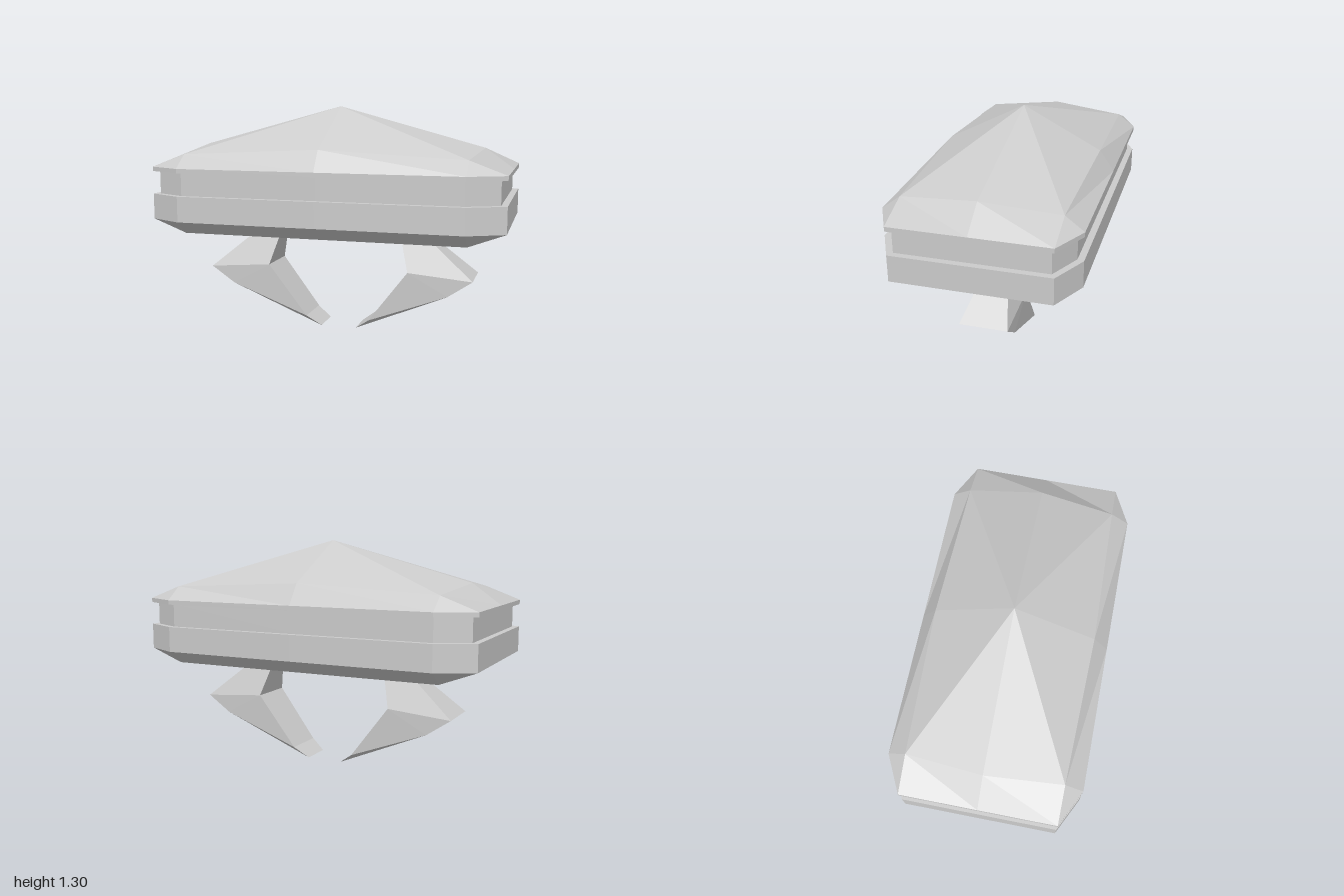
import * as THREE from 'three';

const material = new THREE.MeshStandardMaterial({ color: 0xcccccc, flatShading: true });

// Flat-shaded mesh from a list of triangles, skipping collapsed ones
function meshFrom(name, triangles) {
  const t = new THREE.Triangle();
  const points = triangles.filter(([a, b, c]) => t.set(a, b, c).getArea() > 1e-7).flat();
  const geometry = new THREE.BufferGeometry().setFromPoints(points);
  geometry.computeVertexNormals();
  const mesh = new THREE.Mesh(geometry, material);
  mesh.name = name;
  return mesh;
}

// Twelve-point ring: a rectangle X by Z with corners cut at (cx, cz) and a
// point in the middle of each side; heights and bulges may differ per point
function ring(y, X, Z, cx = X, cz = Z, { ySide = y, yFront = y, bulgeX = 0, bulgeZ = 0 } = {}) {
  const p = (x, h, z) => new THREE.Vector3(x, h, z);
  return [
    p(X + bulgeX, ySide, 0), p(X, y, cz), p(cx, y, Z),
    p(0, yFront, Z + bulgeZ), p(-cx, y, Z), p(-X, y, cz),
    p(-X - bulgeX, ySide, 0), p(-X, y, -cz), p(-cx, y, -Z),
    p(0, yFront, -Z - bulgeZ), p(cx, y, -Z), p(X, y, -cz),
  ];
}

// Skin over successive rings
function loft(name, rings) {
  const triangles = [];
  for (let r = 0; r < rings.length - 1; r++) {
    const lo = rings[r], hi = rings[r + 1];
    for (let i = 0; i < 12; i++) {
      const j = (i + 1) % 12;
      triangles.push([lo[i], hi[i], hi[j]], [lo[i], hi[j], lo[j]]);
    }
  }
  return meshFrom(name, triangles);
}

// Claw-like leg: side profile [x, y, half width], joined front to back
function leg(name) {
  const profile = [
    [0.32, 0.72, 0.001], // hidden top point
    [0.42, 0.36, 0.133], // inner knee
    [0.19, 0.06, 0.122], // inner toe
    [0.105, 0, 0.093], // tip
    [0.65, 0.235, 0.132], // outer shin
    [0.79, 0.33, 0.133], // outer knee
  ];
  const front = profile.map(([x, y, w]) => new THREE.Vector3(x, y, w));
  const back = profile.map(([x, y, w]) => new THREE.Vector3(x, y, -w));
  const triangles = [];
  for (const [a, b, c] of [[0, 1, 5], [1, 4, 5], [1, 2, 4], [2, 3, 4]]) {
    triangles.push([front[a], front[b], front[c]], [back[a], back[c], back[b]]);
  }
  for (let i = 0; i < 6; i++) {
    const j = (i + 1) % 6;
    triangles.push([front[i], back[i], back[j]], [front[i], back[j], front[j]]);
  }
  return meshFrom(name, triangles);
}

export function createModel() {
  const model = new THREE.Group();
  model.name = 'leggedCapsule';

  const outer = (y) => ring(y, 1, 0.52, 0.8, 0.42);
  const inset = (y) => ring(y, 0.965, 0.485, 0.79, 0.4);

  // Base with a chamfered underside and a slot that takes the legs
  model.add(loft('base', [
    ring(0.74, 0, 0), ring(0.74, 0.7, 0.15), ring(0.58, 0.7, 0.15),
    ring(0.58, 0.8, 0.42), outer(0.655), outer(0.8), inset(0.8),
  ]));

  // Recessed band between base and lid
  model.add(loft('neck', [inset(0.8), inset(0.93)]));

  // Lid with thin lip, sloping eaves and a faceted peak
  model.add(loft('lid', [
    inset(0.93), outer(0.93), outer(0.955),
    ring(1.03, 0.8, 0.42, 0.8, 0.42, { ySide: 1.07, yFront: 1.07, bulgeX: 0.04, bulgeZ: 0.02 }),
    ring(1.297, 0, 0),
  ]));

  // Pair of legs, the second turned half way round
  const legs = new THREE.Group();
  legs.name = 'legs';
  legs.position.x = 0.012;
  const rightLeg = leg('rightLeg');
  rightLeg.rotation.y = Math.PI;
  legs.add(leg('leftLeg'), rightLeg);
  model.add(legs);

  return model;
}
